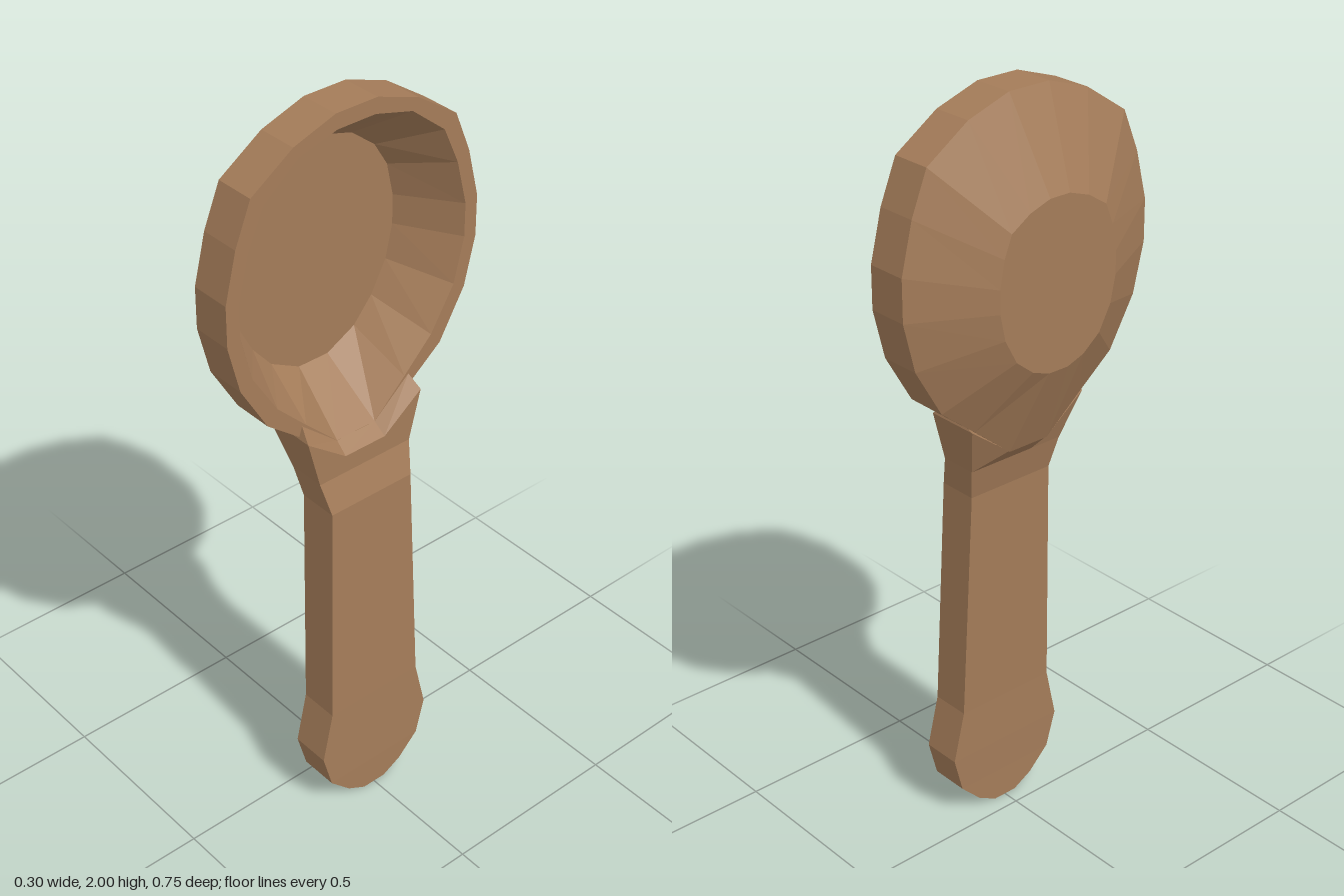
import * as THREE from 'three';

// Skins a stack of equal loops with flat facets; optional fans close the ends.
function skin(loops, capped) {
  const pos = [];
  const tri = (a, b, c) => pos.push(...a, ...b, ...c);
  const n = loops[0].length;
  for (let k = 0; k < loops.length - 1; k++) {
    const a = loops[k], b = loops[k + 1];
    for (let i = 0; i < n; i++) {
      const j = (i + 1) % n;
      tri(a[i], a[j], b[j]);
      tri(a[i], b[j], b[i]);
    }
  }
  if (capped) {
    const first = loops[0], last = loops[loops.length - 1];
    for (let i = 1; i < n - 1; i++) {
      tri(first[0], first[i + 1], first[i]);
      tri(last[0], last[i], last[i + 1]);
    }
  }
  const g = new THREE.BufferGeometry();
  g.setAttribute('position', new THREE.Float32BufferAttribute(pos, 3));
  g.computeVertexNormals();
  return g;
}

// Mirrors a half outline of [z, y] points into a loop; x leans forward slightly towards the bottom.
function ring(x, half, lean = 0) {
  const left = half.map(([z, y]) => [x + lean * (2 - y), y, z]);
  const right = left.map(([px, y, z]) => [px, y, -z]).reverse();
  return [...left, ...right];
}

export function createModel() {
  const group = new THREE.Group();
  group.name = 'woodenSpoon';
  const wood = new THREE.MeshStandardMaterial({ color: 0xa47c59, flatShading: true });
  wood.name = 'wood';

  // Bowl outlines, top to bottom
  const back = [[0.03, 1.77], [0.09, 1.75], [0.145, 1.715], [0.167, 1.66], [0.18, 1.59],
    [0.18, 1.53], [0.165, 1.46], [0.13, 1.395], [0.08, 1.355], [0.03, 1.337]];
  const outer = [[0.06, 2], [0.18, 1.96], [0.3, 1.88], [0.345, 1.77], [0.377, 1.64],
    [0.377, 1.53], [0.345, 1.4], [0.27, 1.27], [0.17, 1.19], [0.06, 1.1]];
  const inner = [[0.055, 1.96], [0.165, 1.93], [0.265, 1.85], [0.31, 1.75], [0.34, 1.63],
    [0.34, 1.54], [0.31, 1.42], [0.24, 1.305], [0.155, 1.22], [0.06, 1.13]];
  const floor = [[0.04, 1.853], [0.12, 1.83], [0.19, 1.775], [0.23, 1.71], [0.25, 1.62],
    [0.25, 1.54], [0.23, 1.45], [0.185, 1.365], [0.13, 1.3], [0.045, 1.255]];
  const bowl = new THREE.Mesh(skin([
    ring(-0.15, back), ring(-0.045, outer), ring(0.063, outer, 0.004),
    ring(0.063, inner, 0.004), ring(-0.092, floor),
  ], true), wood);
  bowl.name = 'bowl';
  group.add(bowl);

  // Handle stations: edge y, half width, back x, front x, and optional y of the centre
  const stations = [
    [0, 0.035, 0.045, 0.045],
    [0, 0.035, 0.045, 0.15],
    [0.03, 0.09, 0.045, 0.15],
    [0.09, 0.15, 0.044, 0.15],
    [0.19, 0.177, 0.042, 0.149],
    [0.33, 0.145, 0.04, 0.147],
    [0.97, 0.127, 0.02, 0.127],
    [1.055, 0.143, 0, 0.101],
    [1.19, 0.178, -0.045, 0.101, 1.103],
  ];
  const loops = stations.map(([y, w, xb, xf, yc = y]) => {
    const c = w * 0.35;
    return [[xf, y, w], [xf, yc, c], [xf, yc, -c], [xf, y, -w],
      [xb, y, -w], [xb, yc, -c], [xb, yc, c], [xb, y, w]];
  });
  // Sloped lip that meets the inner rim, then closed inside the bowl wall
  const lip = [[0.066, 1.222, 0.168], [0.066, 1.13, 0.06], [0.066, 1.13, -0.06], [0.066, 1.222, -0.168]];
  const under = loops[loops.length - 1].slice(4);
  loops.push([...lip, ...under], [...under.slice().reverse(), ...under]);
  const handle = new THREE.Mesh(skin(loops, false), wood);
  handle.name = 'handle';
  group.add(handle);
  return group;
}
